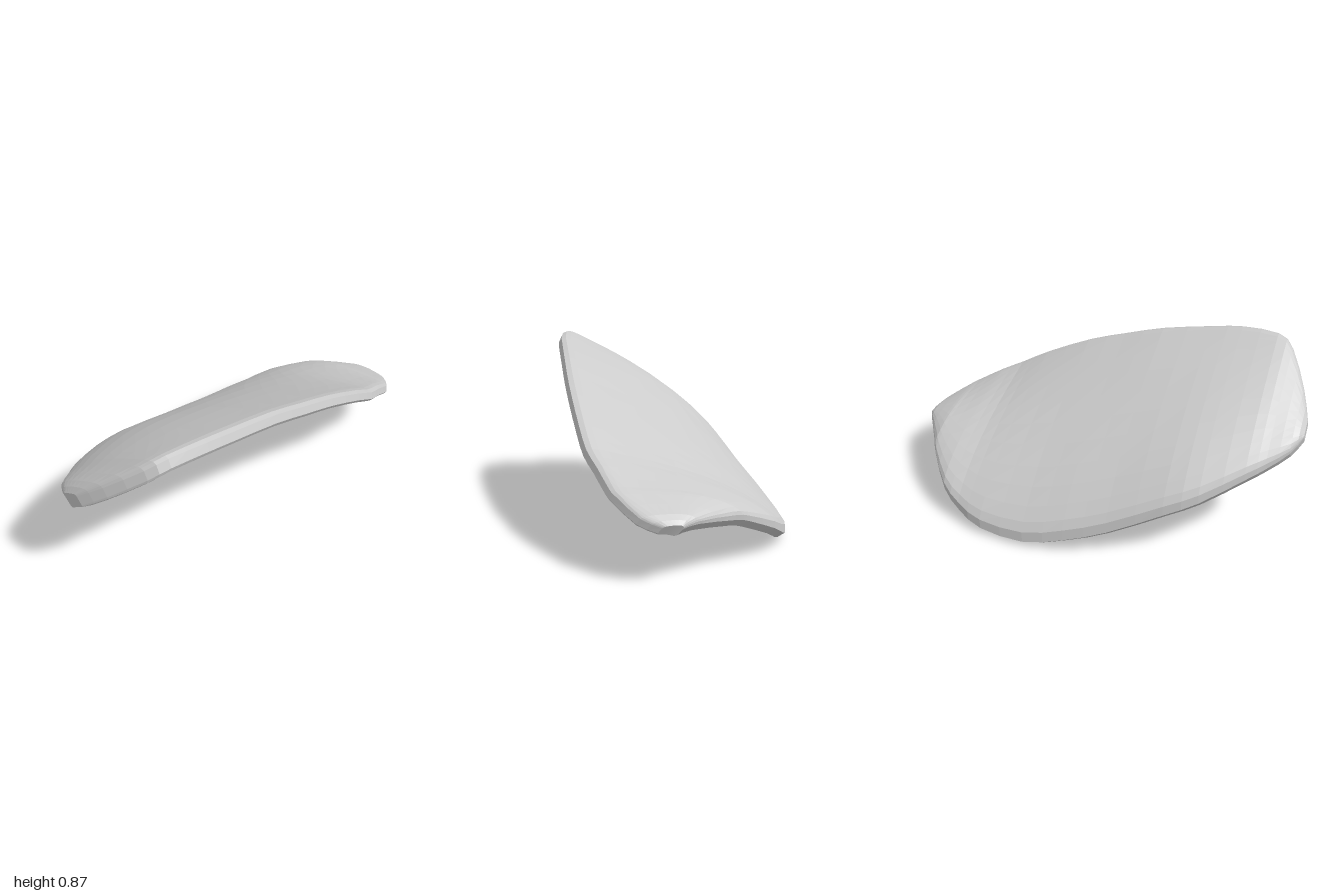
import * as THREE from 'three';

// Rim control points by station: [z, left x, left y, right x, right y]
const RIM = [
  [-0.99, 0.14, 0.24, 0.22, 0.25], [-0.95, 0.07, 0.245, 0.3, 0.28],
  [-0.84, -0.11, 0.22, 0.38, 0.345], [-0.8, -0.18, 0.2, 0.4, 0.365],
  [-0.68, -0.33, 0.125, 0.435, 0.43], [-0.57, -0.4, 0.07, 0.465, 0.48],
  [-0.43, -0.457, 0.033, 0.48, 0.555], [-0.2, -0.48, 0.025, 0.49, 0.655],
  [0, -0.46, 0.07, 0.49, 0.72], [0.2, -0.42, 0.135, 0.485, 0.78],
  [0.45, -0.36, 0.25, 0.475, 0.83], [0.6, -0.305, 0.315, 0.465, 0.855],
  [0.78, -0.195, 0.41, 0.43, 0.86], [0.86, -0.135, 0.45, 0.375, 0.815],
  [0.95, -0.06, 0.505, 0.22, 0.69], [0.995, 0.02, 0.55, 0.1, 0.6],
];
// Positions across the shell, closer together near the rim
const ACROSS = [0, 0.02, 0.05, 0.1, 0.17, 0.25, 0.35, 0.46, 0.58, 0.7, 0.81, 0.9, 0.95, 0.98, 1];

function shellGeometry() {
  const edge = (xi, yi) => new THREE.CatmullRomCurve3(
    RIM.map((r) => new THREE.Vector3(r[xi], r[yi], r[0])), false, 'catmullrom', 0.5);
  const left = edge(1, 2), right = edge(3, 4);
  const stations = (RIM.length - 1) * 2;
  const positions = [], index = [];

  for (let i = 0; i <= stations; i++) {
    const a = left.getPoint(i / stations), b = right.getPoint(i / stations);
    const z = a.z, fade = Math.pow(1 - z * z, 0.75);
    const top = [], bottom = [];
    for (const t of ACROSS) {
      // Domed middle surface
      const p = a.clone().lerp(b, t);
      p.y += 0.12 * fade * Math.sin(Math.PI * Math.pow(t, 0.65));
      // Thickness: fuller to the left and front, rounded at the rim
      const d = Math.min(p.x - a.x, b.x - p.x, 1 - Math.abs(z));
      const inset = 1 - THREE.MathUtils.clamp(d / 0.05, 0, 1);
      const round = 0.5 + 0.5 * Math.sqrt(1 - inset * inset);
      const h = round * (0.046 - 0.01 * t + 0.006 * z);
      const n = new THREE.Vector3(-(1 - 1.2 * p.x), 1, -(0.25 - 0.25 * z)).normalize();
      top.push(p.clone().addScaledVector(n, h));
      bottom.unshift(p.clone().addScaledVector(n, -h));
    }
    for (const p of [...top, ...bottom]) positions.push(p.x, p.y, p.z);
  }

  // Skin the loops
  const m = ACROSS.length * 2;
  for (let i = 0; i < stations; i++) {
    for (let j = 0; j < m; j++) {
      const k = (j + 1) % m;
      const a = i * m + j, b = i * m + k, c = b + m, d = a + m;
      index.push(a, d, c, a, c, b);
    }
  }
  // Close both ends between the top and bottom faces
  const last = stations * m;
  for (let j = 0; j < m / 2 - 1; j++) {
    const k = m - 1 - j;
    index.push(j, j + 1, k - 1, j, k - 1, k);
    index.push(last + j, last + k - 1, last + j + 1, last + j, last + k, last + k - 1);
  }

  const g = new THREE.BufferGeometry();
  g.setAttribute('position', new THREE.Float32BufferAttribute(positions, 3));
  g.setIndex(index);
  g.computeVertexNormals();
  return g;
}

export function createModel() {
  const group = new THREE.Group();
  group.name = 'curvedShell';
  const paleGrey = new THREE.MeshStandardMaterial({ color: 0xcccccc, flatShading: true });
  paleGrey.name = 'pale grey';
  const shell = new THREE.Mesh(shellGeometry(), paleGrey);
  shell.name = 'shell';
  group.add(shell);
  return group;
}
